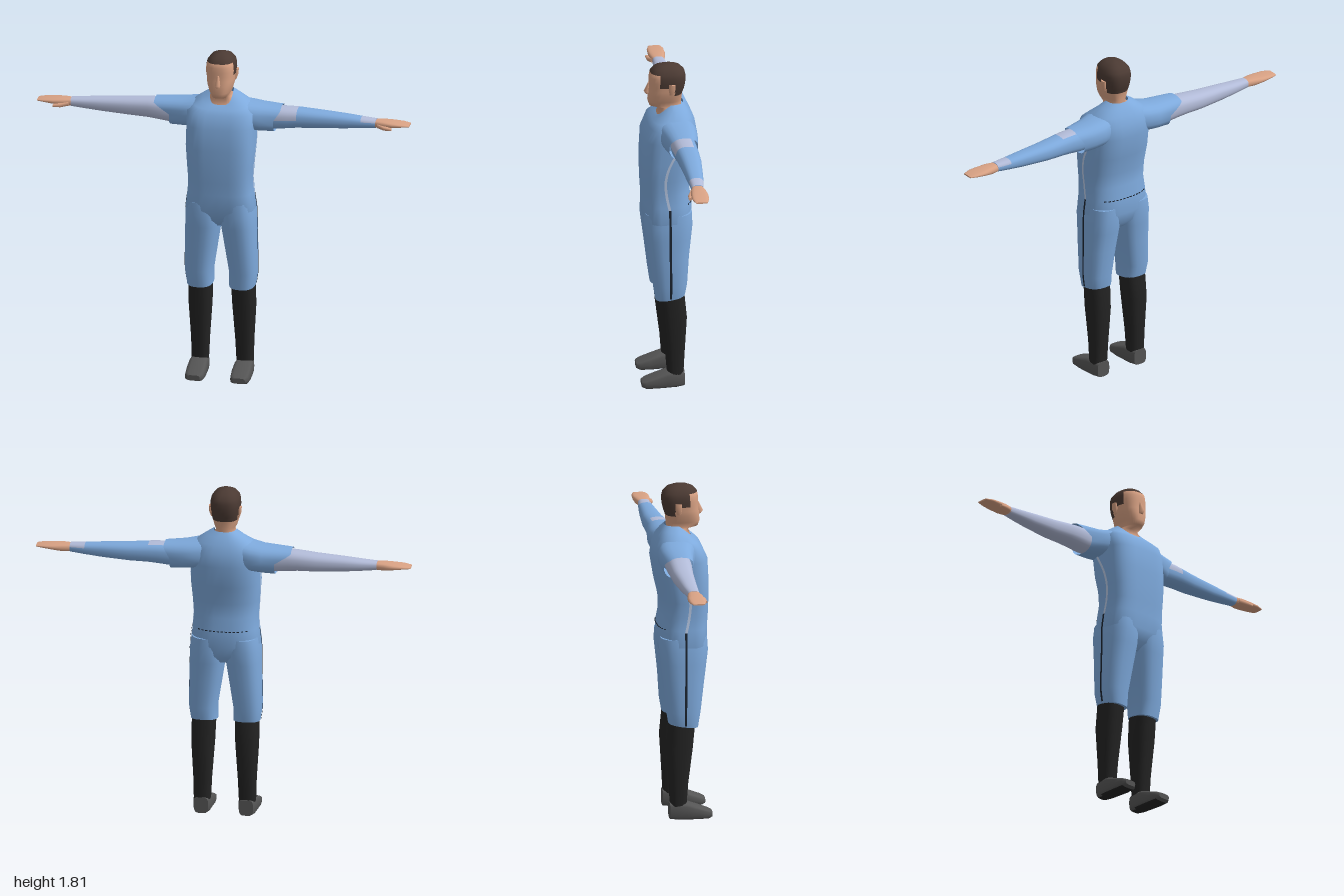
import * as THREE from 'three';

const mat = (name, color, side = THREE.FrontSide) => {
  const m = new THREE.MeshStandardMaterial({ color, side });
  m.name = name;
  return m;
};

export function createModel() {
  const blue = mat('blue cloth', 0x7eaadd, THREE.DoubleSide);
  const pale = mat('pale sleeve', 0xb3bcd9);
  const skin = mat('skin', 0xd9a284);
  const hair = mat('hair', 0x4b3a33);
  const black = mat('black sock', 0x232323);
  const grey = mat('grey shoe', 0x555555);
  const seam = mat('dark seam', 0x1b2430, THREE.DoubleSide);
  const trim = mat('light trim', 0xb9cae6, THREE.DoubleSide);
  const model = new THREE.Group();

  // Which world axis the ring position t and the ring coordinates a, b follow
  const axes = {
    x: (t, a, b) => [t, b, a],
    y: (t, a, b) => [a, t, b],
    z: (t, a, b) => [b, a, t],
  };

  // Skin a row of rounded-box rings [t, aMin, aMax, bMin, bMax]
  function loft(name, axis, rings, mats, o = {}) {
    const { n = 24, p = 0.8, pBack = p, side = 1, warp = (t) => t, pick = () => 0, caps = true } = o;
    const list = [].concat(mats);
    const pos = [];
    const faces = list.map(() => []);
    const add = (t, a, b) => {
      const v = axes[axis](t, a, b);
      pos.push(v[0] * side, v[1], v[2]);
      return pos.length / 3 - 1;
    };
    const tri = (m, a, b, c) => faces[m].push(...(side > 0 ? [a, b, c] : [a, c, b]));
    const ring = ([t, a0, a1, b0, b1]) => {
      const first = pos.length / 3;
      for (let j = 0; j < n; j++) {
        const th = (j / n) * Math.PI * 2, c = Math.cos(th), s = Math.sin(th);
        const e = s >= 0 ? p : pBack;
        const a = (a0 + a1) / 2 + ((a1 - a0) / 2) * Math.sign(c) * Math.abs(c) ** e;
        const b = (b0 + b1) / 2 + ((b1 - b0) / 2) * Math.sign(s) * Math.abs(s) ** e;
        add(warp(t, a, b, s), a, b);
      }
      return first;
    };
    const starts = rings.map(ring);
    for (let i = 0; i < rings.length - 1; i++) for (let j = 0; j < n; j++) {
      const k = (j + 1) % n;
      const q = [starts[i] + j, starts[i] + k, starts[i + 1] + j, starts[i + 1] + k];
      const mid = [0, 1, 2].map((d) => q.reduce((sum, v) => sum + pos[v * 3 + d], 0) / 4);
      const m = pick(...mid);
      tri(m, q[0], q[2], q[1]);
      tri(m, q[1], q[2], q[3]);
    }
    // End caps have their own vertices so the rim stays sharp
    if (caps) for (const r of [rings[0], rings[rings.length - 1]]) {
      const f = ring(r);
      const c = add(warp(r[0], (r[1] + r[2]) / 2, (r[3] + r[4]) / 2, 0), (r[1] + r[2]) / 2, (r[3] + r[4]) / 2);
      const m = pick(...pos.slice(c * 3, c * 3 + 3));
      for (let j = 0; j < n; j++) {
        const k = (j + 1) % n;
        if (r === rings[0]) tri(m, c, f + j, f + k);
        else tri(m, c, f + k, f + j);
      }
    }
    const g = new THREE.BufferGeometry();
    g.setAttribute('position', new THREE.Float32BufferAttribute(pos, 3));
    g.setIndex(faces.flat());
    let start = 0;
    faces.forEach((f, m) => { g.addGroup(start, f.length, m); start += f.length; });
    g.computeVertexNormals();
    const mesh = new THREE.Mesh(g, list.length > 1 ? list : list[0]);
    mesh.name = name;
    model.add(mesh);
  }

  // Thin ribbon along points, spread in z
  function ribbon(name, pts, width, material, side) {
    const curve = new THREE.CatmullRomCurve3(pts.map((q) => new THREE.Vector3(q[0] * side, q[1], q[2])));
    const g = new THREE.PlaneGeometry(1, 1, 1, 24);
    const a = g.attributes.position;
    for (let i = 0; i < a.count; i++) {
      const c = curve.getPoint(0.5 - a.getY(i));
      a.setXYZ(i, c.x, c.y, c.z + a.getX(i) * width);
    }
    g.computeVertexNormals();
    const mesh = new THREE.Mesh(g, material);
    mesh.name = name;
    model.add(mesh);
  }

  // Torso with a neckline that dips at the front
  const body = (y, w, zb, zf) => [y, -w, w, zb, zf];
  loft('torso', 'y', [
    body(0.86, 0.11, -0.07, 0.07), body(0.9, 0.165, -0.105, 0.115), body(0.96, 0.185, -0.12, 0.14),
    body(1.05, 0.174, -0.12, 0.14), body(1.12, 0.17, -0.107, 0.145), body(1.2, 0.176, -0.109, 0.148),
    body(1.3, 0.184, -0.132, 0.149), body(1.42, 0.182, -0.152, 0.143), body(1.49, 0.185, -0.14, 0.112),
    body(1.535, 0.15, -0.122, 0.088), body(1.57, 0.1, -0.1, 0.075), body(1.595, 0.06, -0.08, 0.062),
  ], blue, {
    n: 32, p: 0.6, pBack: 0.8, caps: false,
    warp: (t, a, b, s) => t - (t > 1.5 ? (t - 1.5) * 0.65 * Math.max(0, s) ** 0.7 : 0),
  });

  // Head and neck, with the hair coloured by region
  loft('head', 'y', [
    body(1.5, 0.1, -0.07, 0.068), body(1.535, 0.085, -0.07, 0.06), body(1.575, 0.058, -0.068, 0.045),
    body(1.583, 0.045, -0.068, 0.1), body(1.61, 0.058, -0.07, 0.109), body(1.65, 0.07, -0.074, 0.107),
    body(1.675, 0.074, -0.083, 0.104), body(1.7, 0.076, -0.089, 0.102), body(1.725, 0.079, -0.092, 0.102),
    body(1.75, 0.078, -0.092, 0.1), body(1.772, 0.073, -0.087, 0.096), body(1.795, 0.055, -0.066, 0.075),
    body(1.808, 0.03, -0.035, 0.045), body(1.812, 0.005, -0.005, 0.01),
  ], [skin, hair], {
    n: 32, p: 0.8,
    pick: (x, y, z) => (y > 1.772 || (y > 1.71 && z < 0.055) || (y > 1.65 && z < -0.025) ? 1 : 0),
  });
  loft('nose', 'y', [body(1.645, 0.012, 0.09, 0.118), body(1.66, 0.014, 0.09, 0.129),
    body(1.71, 0.006, 0.09, 0.106)], skin, { n: 8, p: 1 });

  for (const side of [1, -1]) {
    const label = side > 0 ? 'left' : 'right';
    const part = (name, ...rest) => loft(label + name, ...rest);

    part('Ear', 'y', [[1.66, 0.068, 0.076, -0.02, 0.0], [1.69, 0.068, 0.086, -0.03, 0.006],
      [1.72, 0.068, 0.088, -0.03, 0.004]], skin, { side, n: 10 });

    // Short sleeve, its hem reaching further out along the top
    const reach = side > 0 ? 0.035 : 0.085;
    part('ShortSleeve', 'x', [
      [0.09, -0.12, 0.07, 1.39, 1.545], [0.15, -0.137, 0.068, 1.385, 1.537],
      [0.21, -0.134, 0.05, 1.38, 1.527], [0.28, -0.125, 0.028, 1.377, 1.518],
    ], blue, {
      side, caps: false,
      warp: (t, z, y) => (t > 0.25 ? t + reach * Math.min(1, Math.max(0, (y - 1.45) / 0.05)) : t),
    });

    // Long under-sleeve: right one pale, left one blue with pale patches
    part('Arm', 'x', [
      [0.2, -0.11, 0.015, 1.39, 1.51], [0.29, -0.113, 0.018, 1.39, 1.51], [0.35, -0.114, 0.014, 1.397, 1.51],
      [0.4, -0.115, 0.008, 1.402, 1.508], [0.5, -0.115, -0.002, 1.405, 1.5], [0.65, -0.104, -0.012, 1.414, 1.49],
      [0.74, -0.095, -0.017, 1.422, 1.482], [0.82, -0.085, -0.022, 1.43, 1.476],
    ], [blue, pale], {
      side,
      pick: (x, y, z) => (x < 0 || (x < 0.4 && y > 1.445 && z > -0.09) || (x > 0.74 && y > 1.46) ? 1 : 0),
    });
    part('Hand', 'x', [
      [0.8, -0.08, -0.026, 1.432, 1.473], [0.86, -0.094, -0.012, 1.432, 1.474], [0.91, -0.1, -0.008, 1.44, 1.47],
      [0.96, -0.097, -0.01, 1.447, 1.466], [1, -0.085, -0.022, 1.451, 1.459],
    ], skin, { side, n: 16, p: 0.7 });
    part('Thumb', 'x', [[0.83, -0.035, -0.014, 1.436, 1.46], [0.87, -0.03, 0.004, 1.43, 1.453],
      [0.91, -0.014, 0.006, 1.432, 1.447]], skin, { side, n: 8 });

    // Trouser leg with a slanted hem
    part('TrouserLeg', 'y', [
      [0.51, 0.043, 0.183, -0.075, 0.083], [0.6, 0.043, 0.194, -0.086, 0.096], [0.75, 0.02, 0.192, -0.097, 0.115],
      [0.86, 0.003, 0.189, -0.11, 0.13], [0.93, -0.005, 0.188, -0.118, 0.139], [1, 0, 0.178, -0.115, 0.135],
    ], blue, { side, warp: (t, x, z) => (t < 0.55 ? t + 0.012 - z * 0.15 : t) });
    part('Sock', 'y', [
      [0.07, 0.076, 0.165, -0.066, 0.02], [0.2, 0.07, 0.168, -0.073, 0.03], [0.4, 0.056, 0.179, -0.085, 0.055],
      [0.56, 0.05, 0.178, -0.07, 0.07],
    ], black, { side });
    part('Shoe', 'z', [
      [-0.07, 0.008, 0.095, 0.082, 0.158], [-0.03, 0.003, 0.1, 0.073, 0.168], [0.02, 0.002, 0.096, 0.07, 0.172],
      [0.085, 0.002, 0.071, 0.068, 0.174], [0.135, 0.004, 0.052, 0.072, 0.171], [0.156, 0.012, 0.042, 0.088, 0.156],
    ], [grey, black], { side, n: 16, p: 0.55, pick: (x, y) => (y < 0.008 ? 1 : 0) });

    // Side seam on the trousers and curved piping on the shirt
    ribbon(label + 'TrouserSeam', [[0.188, 0.53, 0.008], [0.197, 0.6, 0.007], [0.195, 0.75, 0.009],
      [0.193, 0.86, 0.01], [0.192, 0.95, 0.01], [0.18, 1.04, 0.011]], 0.012, seam, side);
    ribbon(label + 'ShirtPiping', [[0.178, 1.04, 0.012], [0.175, 1.12, 0.028], [0.179, 1.2, 0.034],
      [0.185, 1.28, 0.018], [0.187, 1.35, -0.015], [0.184, 1.41, -0.05]], 0.014, trim, side);
  }

  // Stitching across the lower back
  const stitches = new THREE.Group();
  stitches.name = 'backStitching';
  for (let i = -6; i <= 6; i++) {
    const x = i * 0.021;
    const stitch = new THREE.Mesh(new THREE.BoxGeometry(0.012, 0.004, 0.006), seam);
    stitch.position.set(x, 1.05, 0.01 - 0.13 * (1 - Math.abs(x / 0.174) ** 2.5) ** 0.4);
    stitch.rotation.y = -x * 3;
    stitches.add(stitch);
  }
  model.add(stitches);
  return model;
}
